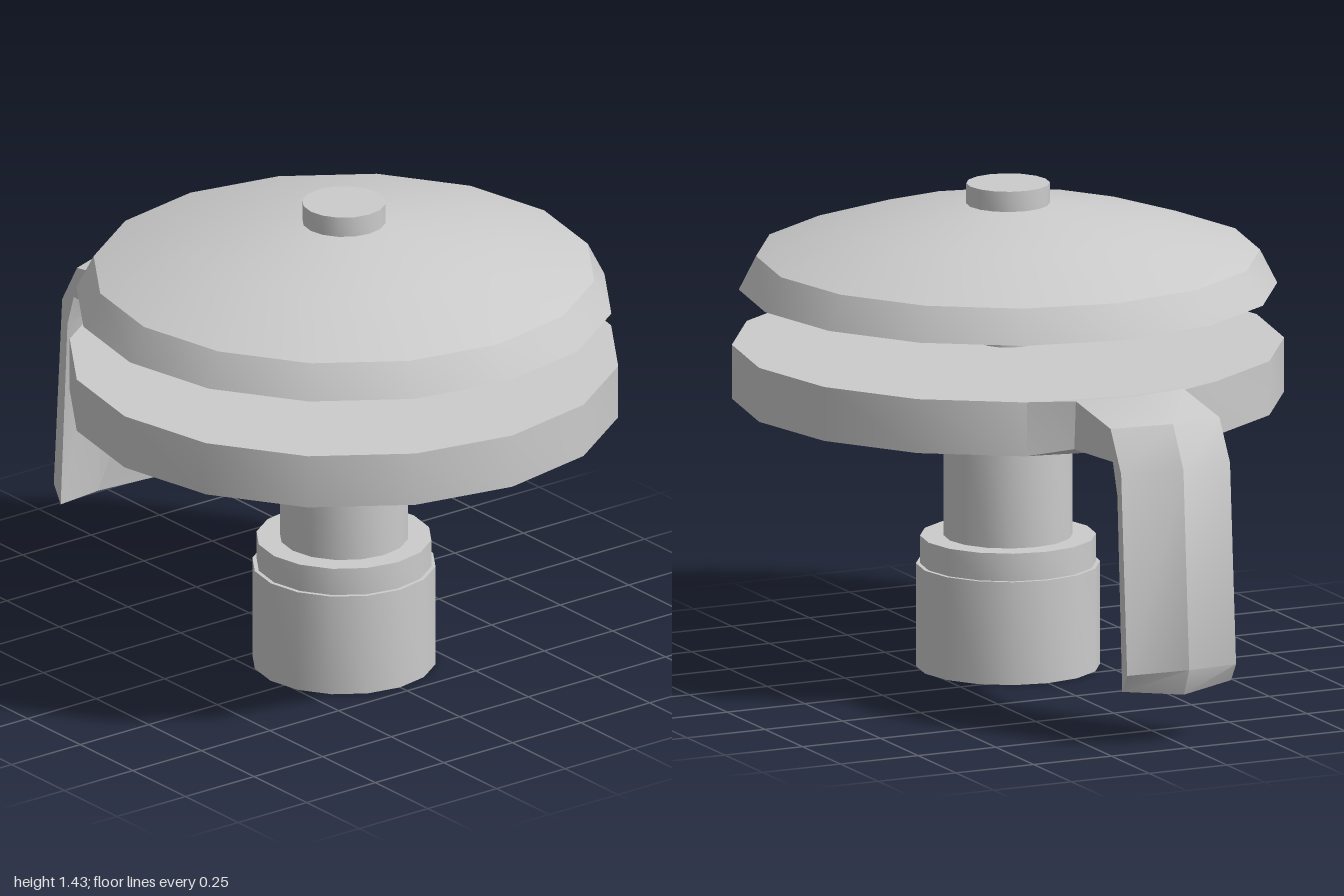
import * as THREE from 'three';
import { toCreasedNormals } from 'three/addons/utils/BufferGeometryUtils.js';

const material = new THREE.MeshStandardMaterial({ color: 0xcccccc });
const AXIS_X = 0.2; // every turned part shares this vertical axis

function addMesh(group, name, geometry) {
  const mesh = new THREE.Mesh(toCreasedNormals(geometry, 0.5), material);
  mesh.name = name;
  group.add(mesh);
  return mesh;
}

// Turned part: [radius, height] pairs from bottom to top, closed at both ends
function addTurned(group, name, profile) {
  const points = [
    [0, profile[0][1]], ...profile, [0, profile[profile.length - 1][1]],
  ].map(([r, y]) => new THREE.Vector2(r, y));
  addMesh(group, name, new THREE.LatheGeometry(points, 16)).position.x = AXIS_X;
}

// Bent handle: V-shaped cross-sections joined from the tip to the disc
function handleGeometry() {
  // half width, then [x, y] of outer edge, outer ridge, inner edge, inner ridge
  const stations = [
    [0.175, [-0.95, 0.22], [-1.0, 0.23], [-0.917, 0.166], [-0.965, 0.15]],
    [0.175, [-0.91, 0.81], [-0.962, 0.815], [-0.885, 0.74], [-0.925, 0.75]],
    [0.175, [-0.84, 0.93], [-0.893, 0.938], [-0.855, 0.835], [-0.89, 0.835]],
    [0.175, [-0.61, 0.965], [-0.67, 0.975], [-0.6, 0.82], [-0.72, 0.86]],
    [0.3, [-0.54, 0.96], [-0.6, 0.96], [-0.54, 0.8], [-0.6, 0.8]],
  ];
  const positions = [];
  const index = [];
  for (const [w, outer, outerRidge, inner, innerRidge] of stations) {
    positions.push(
      ...outer, w, ...outerRidge, 0, ...outer, -w,
      ...inner, -w, ...innerRidge, 0, ...inner, w,
    );
  }
  for (let s = 0; s < stations.length - 1; s++) {
    for (let i = 0; i < 6; i++) {
      const a = s * 6 + i;
      const b = s * 6 + ((i + 1) % 6);
      index.push(a, a + 6, b, b, a + 6, b + 6);
    }
  }
  // slanted end face at the tip
  index.push(0, 1, 4, 0, 4, 5, 1, 2, 3, 1, 3, 4);
  const geometry = new THREE.BufferGeometry();
  geometry.setAttribute('position', new THREE.Float32BufferAttribute(positions, 3));
  geometry.setIndex(index);
  return geometry;
}

export function createModel() {
  const model = new THREE.Group();

  // stepped foot and neck
  addTurned(model, 'foot', [[0.267, 0], [0.267, 0.305]]);
  addTurned(model, 'footCollar', [[0.255, 0.305], [0.255, 0.387]]);
  addTurned(model, 'neck', [[0.187, 0.387], [0.187, 0.69], [0.14, 0.72], [0.14, 0.8]]);

  // main disc and its handle
  addTurned(model, 'disc', [[0.8, 0.8], [0.8, 0.96]]);
  addMesh(model, 'handle', handleGeometry());

  // shaft that carries the lid
  addTurned(model, 'shaftCollar', [[0.086, 0.96], [0.086, 1.03]]);
  addTurned(model, 'shaft', [[0.078, 1.03], [0.078, 1.125]]);

  // domed lid with a sloping rim and a flat knob
  addTurned(model, 'lid', [[0.78, 1.123], [0.73, 1.222], [0.46, 1.31], [0.12, 1.37]]);
  addTurned(model, 'knob', [[0.121, 1.37], [0.121, 1.43]]);

  return model;
}
